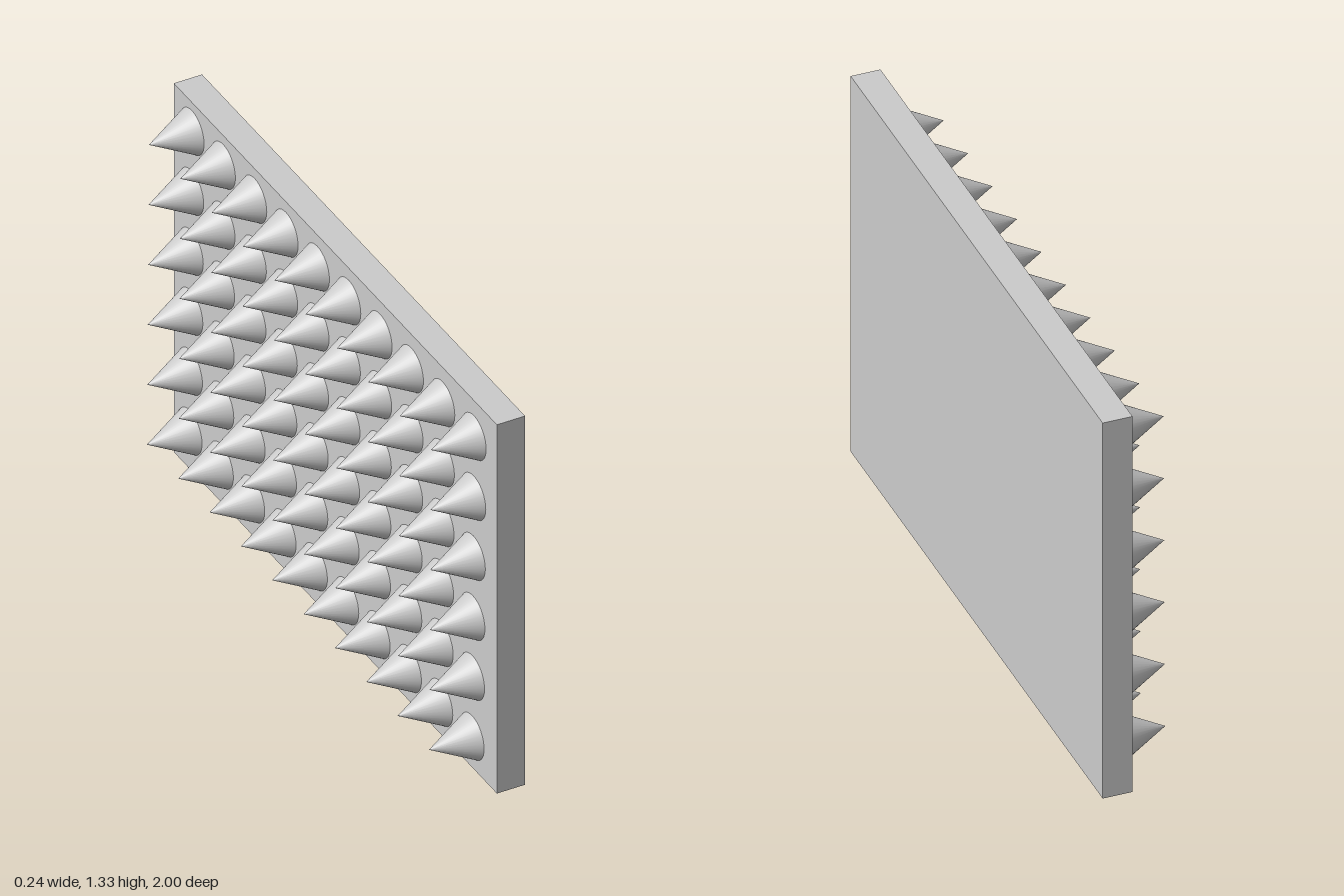
import * as THREE from 'three';

export function createModel() {
  const group = new THREE.Group();
  const material = new THREE.MeshStandardMaterial({ color: 0xcccccc });

  // Flat upright board
  const height = 1.333, thickness = 0.095, faceX = 0.025;
  const board = new THREE.Mesh(new THREE.BoxGeometry(thickness, height, 2), material);
  board.name = 'board';
  board.position.set(faceX + thickness / 2, height / 2, 0);
  group.add(board);

  // Grid of cones pointing to -x, turned very slightly on the board
  const rows = 6, columns = 10, stepY = 0.2183, stepZ = 0.194;
  const spikeLength = 0.145;
  const spikeGeometry = new THREE.ConeGeometry(0.075, spikeLength, 32);
  spikeGeometry.rotateZ(Math.PI / 2);

  const spikes = new THREE.Group();
  spikes.name = 'spikes';
  for (let r = 0; r < rows; r++) {
    for (let c = 0; c < columns; c++) {
      const spike = new THREE.Mesh(spikeGeometry, material);
      spike.name = `spikeRow${r + 1}Column${c + 1}`;
      spike.position.set(
        faceX - spikeLength / 2,
        0.137 + r * stepY - c * 0.0028,
        -0.9 + c * stepZ + r * 0.0025
      );
      spikes.add(spike);
    }
  }
  group.add(spikes);
  return group;
}
